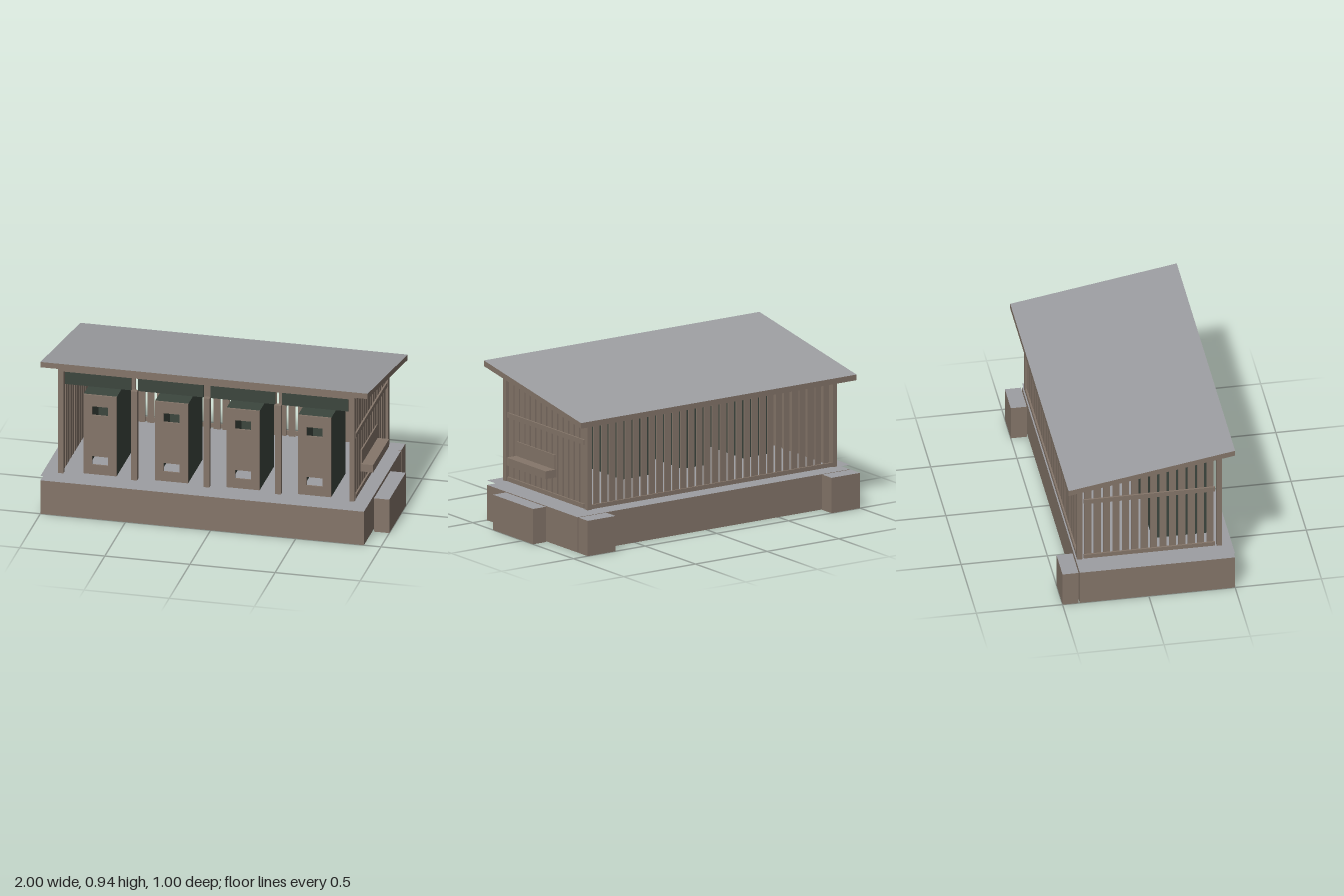
import * as THREE from 'three';

const brown = new THREE.MeshStandardMaterial({ color: 0x85766a });
brown.name = 'brownWood';
const green = new THREE.MeshStandardMaterial({ color: 0x3c463e, side: THREE.DoubleSide });
green.name = 'darkGreen';
const grey = new THREE.MeshStandardMaterial({ color: 0x9d9ea2, side: THREE.DoubleSide });
grey.name = 'grey';
const greyTop = [brown, brown, grey, brown, brown, brown];

const SLOPE = 0.171;
const roofUnder = (z) => 0.8265 + SLOPE * z; // underside height of the roof at depth z
const FLOOR = 0.238;

export function createModel() {
  const group = new THREE.Group();

  // Box from its limits; slope 'all' shears it with the roof, 'top' slants the top only
  function box(name, x0, x1, y0, y1, z0, z1, material = brown, slope = '') {
    const geo = new THREE.BoxGeometry(x1 - x0, y1 - y0, z1 - z0);
    geo.translate((x0 + x1) / 2, (y0 + y1) / 2, (z0 + z1) / 2);
    if (slope) {
      const p = geo.attributes.position;
      const mid = slope === 'all' ? 0 : (z0 + z1) / 2;
      for (let i = 0; i < p.count; i++) {
        if (slope === 'all' || p.getY(i) > (y0 + y1) / 2) p.setY(i, p.getY(i) + SLOPE * (p.getZ(i) - mid));
      }
      geo.computeVertexNormals();
    }
    const mesh = new THREE.Mesh(geo, material);
    mesh.name = name;
    group.add(mesh);
    return mesh;
  }

  // Plinth and the separate step blocks
  box('plinth', -1, 0.9, 0, 0.208, -0.4, 0.5, greyTop);
  box('sideStep', 0.91, 1, 0, 0.208, -0.1, 0.298, greyTop);
  box('backStep', -1, -0.8, 0, 0.208, -0.5, -0.407, greyTop);
  box('backStep', 0.705, 0.9, 0, 0.208, -0.5, -0.407, greyTop);

  // Thin floor sheet just above the plinth
  const floor = new THREE.Mesh(new THREE.PlaneGeometry(1.9, 0.9).rotateX(-Math.PI / 2), grey);
  floor.position.set(-0.05, FLOOR - 0.003, 0.05);
  floor.name = 'floorSheet';
  group.add(floor);

  // Sloping roof
  const eave = roofUnder(0);
  box('roof', -1, 0.922, eave, eave + 0.033, -0.465, 0.5, greyTop, 'all');

  // Side walls: corner posts, slats and rails
  for (const [outer, dir] of [[0.83, -1], [-0.91, 1]]) {
    const span = (a, b) => [Math.min(outer + dir * a, outer + dir * b), Math.max(outer + dir * a, outer + dir * b)];
    const [p0, p1] = span(0, 0.03);
    box('frontPost', p0, p1, FLOOR, roofUnder(0.425), 0.41, 0.44, brown, 'top');
    box('backPost', p0, p1, FLOOR, roofUnder(-0.385), -0.4, -0.37, brown, 'top');
    const [s0, s1] = span(0.01, 0.02);
    for (let i = 0; i < 14; i++) {
      const z = 0.373 - i * 0.0545;
      box('sideSlat', s0, s1, FLOOR, roofUnder(z) - 0.005, z - 0.02, z + 0.02, brown, 'top');
    }
    const [r0, r1] = span(0, 0.01);
    box('lowerSideRail', r0, r1, FLOOR + 0.003, 0.266, -0.36, 0.4);
    box('middleSideRail', r0, r1, 0.616, 0.645, -0.36, 0.4);
    box('topSideRail', r0, r1, eave - 0.033, eave - 0.002, -0.36, 0.4, brown, 'all');
  }

  // Back wall
  for (let i = 0; i < 30; i++) {
    const x = -0.841 + i * 0.0552;
    box('backSlat', x - 0.02, x + 0.02, FLOOR, 0.757, -0.39, -0.38);
  }
  box('lowerBackRail', -0.88, 0.8, FLOOR + 0.003, 0.266, -0.4, -0.39);
  box('topBackRail', -0.88, 0.8, 0.735, 0.757, -0.4, -0.39);

  // Front beam, hanging panels and the posts between the bays
  box('frontBeam', -0.88, 0.8, 0.872, 0.897, 0.41, 0.44);
  const gaps = [-0.465, -0.04, 0.38];
  const edges = [-0.893, ...gaps, 0.81];
  for (let i = 0; i < 4; i++) {
    box('frontPanel', edges[i] + 0.02, edges[i + 1] - 0.02, 0.79, 0.872, 0.418, 0.426, green);
  }
  for (const x of gaps) box('bayPost', x - 0.018, x + 0.018, FLOOR, 0.79, 0.41, 0.44);

  // Cabinets: hollow green shell and a door with two openings
  const w = 0.0975, top = 0.73;
  for (const x of [-0.672, -0.252, 0.168, 0.588]) {
    box('cabinetSide', x - w, x - w + 0.006, FLOOR, top, 0.06, 0.4, green);
    box('cabinetSide', x + w - 0.006, x + w, FLOOR, top, 0.06, 0.4, green);
    box('cabinetBack', x - w + 0.006, x + w - 0.006, FLOOR, top, 0.06, 0.066, green);
    box('cabinetTop', x - w + 0.006, x + w - 0.006, top - 0.006, top, 0.066, 0.4, green);
    const door = new THREE.Shape([[-w, FLOOR], [w, FLOOR], [w, top], [-w, top]].map((p) => new THREE.Vector2(...p)));
    for (const [y0, y1] of [[0.297, 0.35], [0.605, 0.66]]) {
      door.holes.push(new THREE.Path([[-0.047, y0], [-0.047, y1], [0.047, y1], [0.047, y0]].map((p) => new THREE.Vector2(...p))));
    }
    const mesh = new THREE.Mesh(new THREE.ExtrudeGeometry(door, { depth: 0.01, bevelEnabled: false }), brown);
    mesh.position.set(x, 0, 0.4);
    mesh.name = 'cabinetDoor';
    group.add(mesh);
  }

  // Bench on the side wall
  box('benchSeat', 0.83, 0.905, 0.367, 0.413, -0.088, 0.298);
  box('benchBack', 0.83, 0.838, 0.413, 0.498, -0.08, 0.29);

  return group;
}
